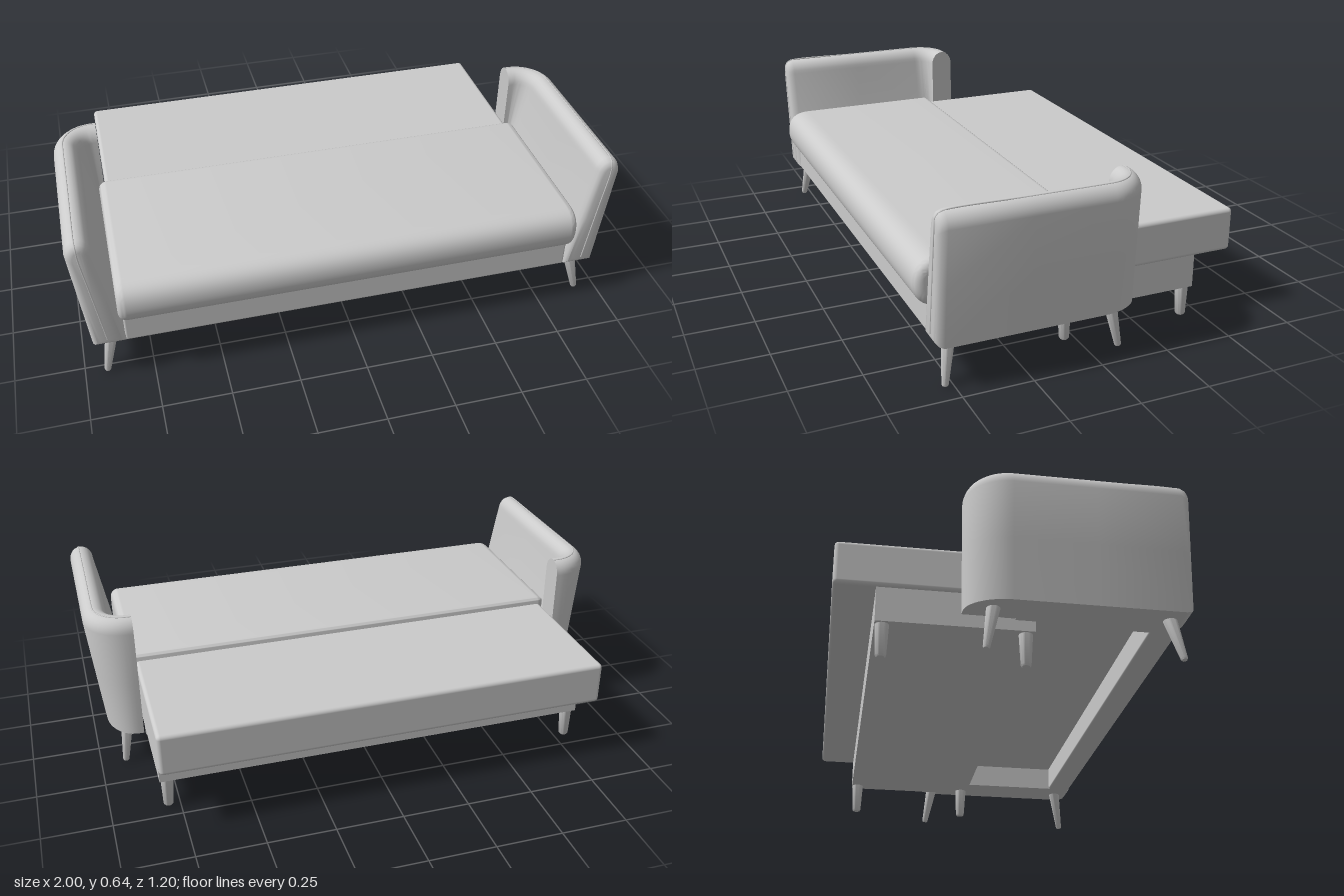
import * as THREE from 'three';
import { toCreasedNormals } from 'three/addons/utils/BufferGeometryUtils.js';
import { RoundedBoxGeometry } from 'three/addons/geometries/RoundedBoxGeometry.js';

const material = new THREE.MeshStandardMaterial({ color: 0xcccccc });
const BOTTOM = 0.155;

function addMesh(parent, name, geometry, x = 0, y = 0, z = 0) {
  const mesh = new THREE.Mesh(geometry, material);
  mesh.name = name;
  mesh.position.set(x, y, z);
  parent.add(mesh);
  return mesh;
}

// Box given by its limits on each axis
function addBox(parent, name, [x0, x1], [y0, y1], [z0, z1], radius = 0) {
  const size = [x1 - x0, y1 - y0, z1 - z0];
  const geometry = radius ? new RoundedBoxGeometry(...size, 4, radius) : new THREE.BoxGeometry(...size);
  return addMesh(parent, name, geometry, (x0 + x1) / 2, (y0 + y1) / 2, (z0 + z1) / 2);
}

// Tapered round leg from its top point to its foot
function addLeg(parent, name, top, foot, rTop, rFoot) {
  const a = new THREE.Vector3(...top), b = new THREE.Vector3(...foot);
  const profile = [[0, 0], [rFoot * 0.75, 0], [rFoot, 0.006], [rTop, a.distanceTo(b)], [0, a.distanceTo(b)]];
  const geometry = new THREE.LatheGeometry(profile.map(p => new THREE.Vector2(...p)), 20);
  const leg = addMesh(parent, name, toCreasedNormals(geometry, 0.7), ...foot);
  leg.quaternion.setFromUnitVectors(new THREE.Vector3(0, 1, 0), a.sub(b).normalize());
}

// Plan path of an arm's outer face: front, straight run, rounded corner, short wing
function armStations() {
  const list = [[0.57, 0.03], [0.567, 0.018], [0.558, 0.007], [0.54, 0], [0.25, 0]]
    .map(([z, inset]) => ({ x: 1, z, nx: 1, nz: 0, inset }));
  for (let i = 0; i <= 12; i++) {
    const a = (i / 12) * Math.PI / 2;
    list.push({ x: 0.85 + 0.15 * Math.cos(a), z: -0.03 - 0.15 * Math.sin(a), nx: Math.cos(a), nz: -Math.sin(a), inset: 0 });
  }
  list.push({ x: 0.833, z: -0.18, nx: 0, nz: -1, inset: 0 });
  return list;
}

// Arm surface point: t runs from outer face (0) to inner face (1)
function armPoint(s, t, y, side) {
  const tt = 0.5 + (t - 0.5) * (1 - s.inset / 0.06);
  const yy = 0.39 + (y - 0.39) * (1 - s.inset / 0.235);
  const low = 1 - Math.min(1, (yy - BOTTOM) / 0.42);
  const lean = (0.045 + 0.035 * tt) * low;
  return [side * (s.x - s.nx * (0.09 * tt + lean)), yy, s.z - s.nz * 0.09 * tt];
}

// Arm cross-section: straight sides with a rounded top
function armProfile() {
  const points = [[0, BOTTOM], [0, 0.37]];
  for (let i = 0; i <= 12; i++) {
    const a = (i / 12) * Math.PI;
    points.push([0.5 - 0.5 * Math.cos(a), 0.575 + 0.053 * Math.sin(a)]);
  }
  points.push([1, 0.37], [1, BOTTOM]);
  return points;
}

function armGeometry(side) {
  const stations = armStations(), profile = armProfile(), n = profile.length;
  const positions = [], index = [];
  const tri = (a, b, c) => index.push(a, ...(side > 0 ? [b, c] : [c, b]));
  for (const s of stations) for (const [t, y] of profile) positions.push(...armPoint(s, t, y, side));
  const last = (stations.length - 1) * n;
  const frontCentre = stations.length * n, endCentre = frontCentre + 1;
  positions.push(...armPoint(stations[0], 0.5, 0.39, side));
  positions.push(...armPoint(stations[stations.length - 1], 0.5, 0.39, side));
  for (let j = 0; j < n; j++) {
    const k = (j + 1) % n;
    for (let i = 0; i < last; i += n) {
      tri(i + j, i + n + j, i + n + k);
      tri(i + j, i + n + k, i + k);
    }
    tri(frontCentre, j, k);
    tri(endCentre, last + k, last + j);
  }
  const geometry = new THREE.BufferGeometry();
  geometry.setAttribute('position', new THREE.Float32BufferAttribute(positions, 3));
  geometry.setIndex(index);
  return toCreasedNormals(geometry, 0.8);
}

// Thin seam up the front of the arm and along its top
function armSeam(side) {
  const stations = armStations();
  const points = [0.16, 0.3, 0.45, 0.6].map(y => armPoint(stations[0], 0.42, y, side));
  for (const s of stations.slice(1)) points.push(armPoint(s, 0.42, 0.627, side));
  const curve = new THREE.CatmullRomCurve3(points.map(p => new THREE.Vector3(...p)));
  return new THREE.TubeGeometry(curve, 70, 0.003, 6);
}

// Seat cushion: side profile with a bulging front, extruded across with soft ends
function seatGeometry() {
  const bevel = 0.03, half = 0.855;
  const s = new THREE.Shape();
  s.moveTo(-0.05, 0.25);
  s.lineTo(0.52, 0.25);
  s.bezierCurveTo(0.575, 0.25, 0.6, 0.29, 0.6, 0.335);
  s.bezierCurveTo(0.6, 0.385, 0.575, 0.42, 0.51, 0.42);
  s.lineTo(-0.04, 0.42);
  s.quadraticCurveTo(-0.06, 0.42, -0.06, 0.4);
  s.lineTo(-0.06, 0.26);
  s.quadraticCurveTo(-0.06, 0.25, -0.05, 0.25);
  const geometry = new THREE.ExtrudeGeometry(s, {
    depth: 2 * (half - bevel), bevelThickness: bevel, bevelSize: bevel,
    bevelOffset: -bevel, bevelSegments: 6, curveSegments: 12,
  });
  geometry.translate(0, 0, bevel - half);
  geometry.rotateY(-Math.PI / 2);
  return toCreasedNormals(geometry, 0.7);
}

export function createModel() {
  const model = new THREE.Group();
  model.name = 'sofaBed';

  // Upholstery
  addMesh(model, 'seatCushion', seatGeometry());
  addBox(model, 'foldedOutBack', [-0.83, 0.83], [0.24, 0.4], [-0.6, -0.058], 0.015);

  // Fixed seat frame
  addBox(model, 'frontRail', [-0.84, 0.84], [BOTTOM, 0.265], [0.46, 0.555], 0.008);

  // Pull-out base
  addBox(model, 'pullOutBase', [-0.82, 0.82], [0.117, 0.245], [-0.458, 0.068]);

  for (const side of [1, -1]) {
    const label = side > 0 ? 'left' : 'right';
    const arm = new THREE.Group();
    arm.name = label + 'Arm';
    model.add(arm);
    addMesh(arm, label + 'ArmPad', armGeometry(side));
    addMesh(arm, label + 'ArmSeam', armSeam(side));
    addLeg(arm, label + 'FrontLeg', [side * 0.885, 0.165, 0.502], [side * 0.92, 0, 0.529], 0.024, 0.012);
    addLeg(arm, label + 'RearLeg', [side * 0.885, 0.165, -0.083], [side * 0.907, 0, -0.111], 0.024, 0.012);

    const inner = Math.min(side * 0.8, side * 0.84), outer = Math.max(side * 0.8, side * 0.84);
    addBox(model, label + 'SideRail', [inner, outer], [BOTTOM, 0.26], [0, 0.48]);
    addLeg(model, label + 'BaseFrontLeg', [side * 0.79, 0.12, 0.04], [side * 0.793, 0, 0.038], 0.024, 0.018);
    addLeg(model, label + 'BaseRearLeg', [side * 0.79, 0.12, -0.433], [side * 0.793, 0, -0.433], 0.024, 0.018);
  }
  return model;
}
